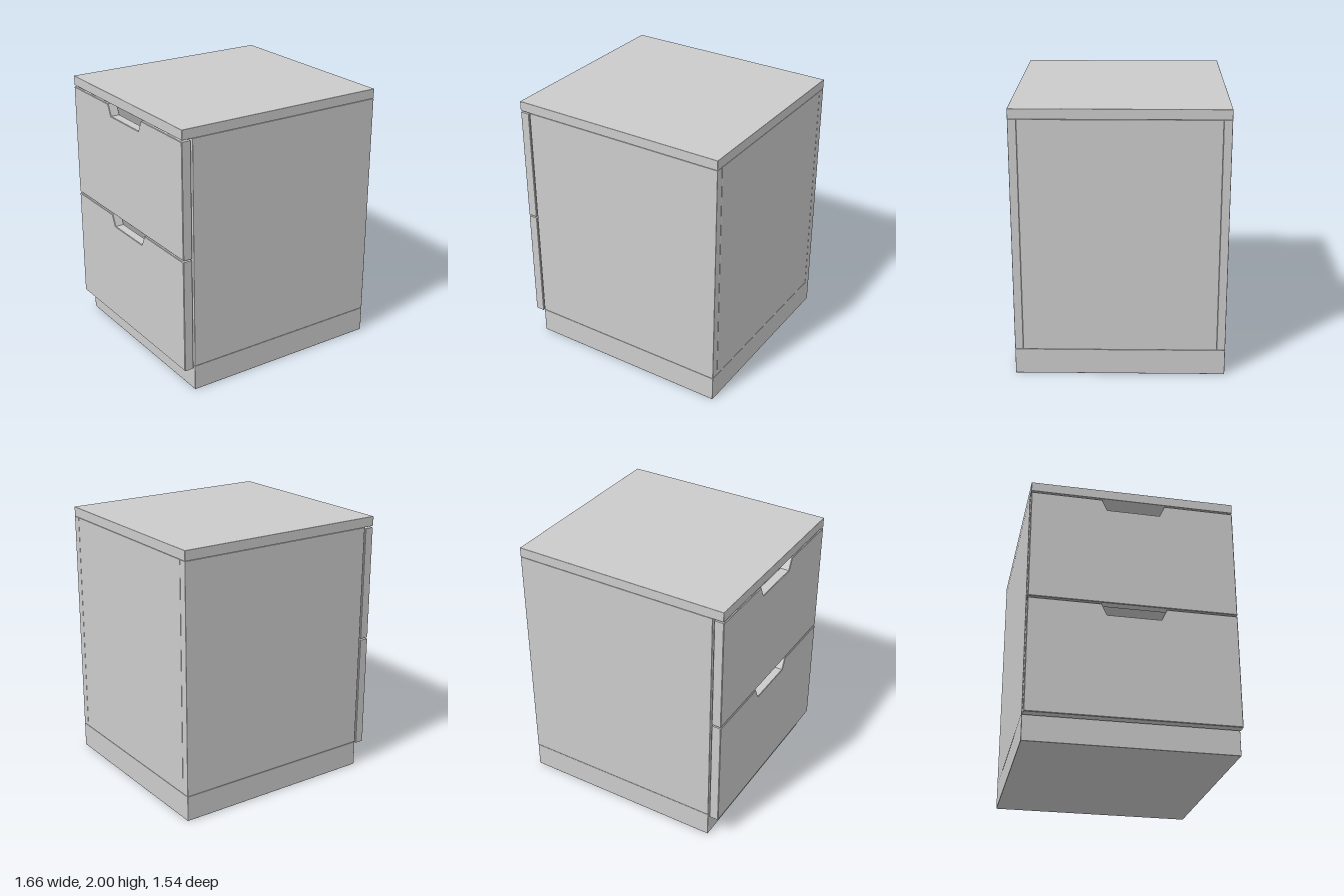
import * as THREE from 'three';
import { RoundedBoxGeometry } from 'three/addons/geometries/RoundedBoxGeometry.js';

const material = new THREE.MeshStandardMaterial({ color: 0xcccccc });
const EDGE = 0.004;

// Board with softened edges, given by its [min, max] along each axis
function board(parent, name, [x0, x1], [y0, y1], [z0, z1]) {
  const geometry = new RoundedBoxGeometry(x1 - x0, y1 - y0, z1 - z0, 1, EDGE);
  const mesh = new THREE.Mesh(geometry, material);
  mesh.name = name;
  mesh.position.set((x0 + x1) / 2, (y0 + y1) / 2, (z0 + z1) / 2);
  parent.add(mesh);
}

// Drawer front with a tapered finger notch in its top edge, facing -x
function drawerFront(bottom, top) {
  const half = 0.766 - EDGE, y0 = bottom + EDGE, y1 = top - EDGE, notch = top - 0.085 - EDGE;
  const shape = new THREE.Shape([
    [-half, y0], [half, y0], [half, y1], [0.24, y1],
    [0.2, notch], [-0.2, notch], [-0.24, y1], [-half, y1],
  ].map(([z, y]) => new THREE.Vector2(z, y)));
  const geometry = new THREE.ExtrudeGeometry(shape, {
    depth: 0.073 - 2 * EDGE, bevelThickness: EDGE, bevelSize: EDGE, bevelSegments: 1,
  });
  geometry.rotateY(-Math.PI / 2);
  const mesh = new THREE.Mesh(geometry, material);
  mesh.name = 'drawerFront';
  mesh.position.x = -0.756 - EDGE;
  return mesh;
}

// Drawer: front plus an open-topped box behind it
function drawer(name, bottom, top) {
  const group = new THREE.Group();
  group.name = name;
  group.add(drawerFront(bottom, top));
  const y = [bottom + 0.1, top - 0.175];
  for (const s of [-1, 1]) {
    const z = [s * 0.64, s * 0.68].sort((a, b) => a - b);
    board(group, 'drawerSide', [-0.756, 0.65], y, z);
  }
  board(group, 'drawerInnerFront', [-0.756, -0.716], y, [-0.64, 0.64]);
  board(group, 'drawerBack', [0.61, 0.65], y, [-0.64, 0.64]);
  board(group, 'drawerBottom', [-0.716, 0.61], [y[0], y[0] + 0.03], [-0.64, 0.64]);
  return group;
}

export function createModel() {
  const cabinet = new THREE.Group();
  cabinet.name = 'drawerCabinet';

  // Plinth and worktop
  board(cabinet, 'plinth', [-0.745, 0.828], [0, 0.194], [-0.768, 0.768]);
  board(cabinet, 'worktop', [-0.828, 0.828], [1.926, 2], [-0.768, 0.768]);

  // Carcass, open towards the drawers
  board(cabinet, 'leftSidePanel', [-0.745, 0.828], [0.194, 1.926], [0.707, 0.768]);
  board(cabinet, 'rightSidePanel', [-0.745, 0.828], [0.194, 1.926], [-0.768, -0.707]);
  board(cabinet, 'backPanel', [0.768, 0.828], [0.194, 1.926], [-0.707, 0.707]);

  // Two stacked drawers
  cabinet.add(drawer('lowerDrawer', 0.18, 1.042));
  cabinet.add(drawer('upperDrawer', 1.054, 1.915));
  return cabinet;
}
